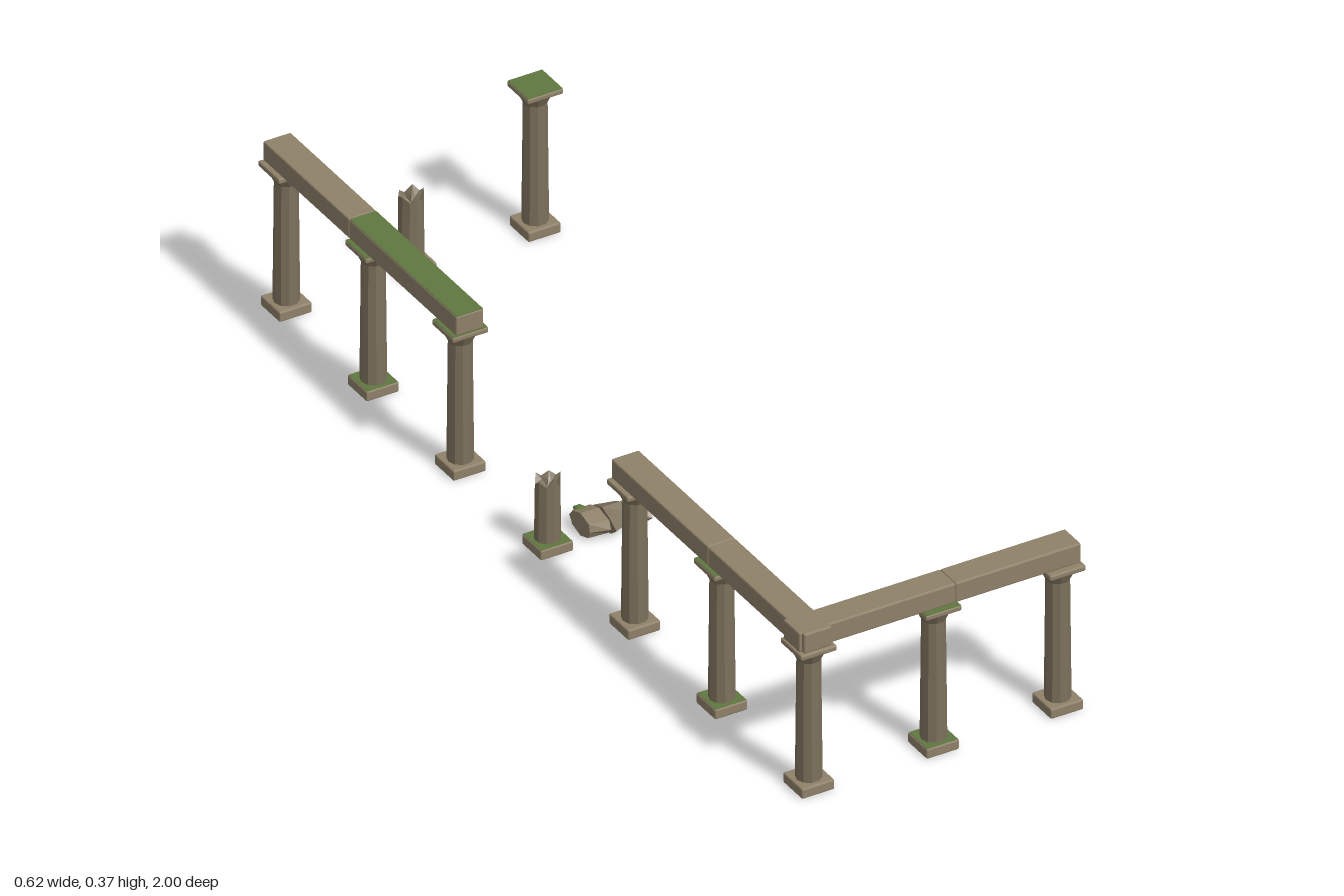
import * as THREE from 'three';
import { RoundedBoxGeometry } from 'three/addons/geometries/RoundedBoxGeometry.js';

const SIDES = 10;
const mat = (color) => new THREE.MeshStandardMaterial({ color, flatShading: true });

export function createModel() {
  const stone = mat(0x8f8169);
  const shaftStone = mat(0x7d715c);
  const moss = mat(0x5f7840);
  const model = new THREE.Group();
  model.name = 'ruinedColonnade';

  let seed = 7;
  const rand = () => (seed = (seed * 16807) % 2147483647) / 2147483647;

  function add(parent, name, geometry, material, x, y, z) {
    const mesh = new THREE.Mesh(geometry, material);
    mesh.name = name;
    mesh.position.set(x, y, z);
    parent.add(mesh);
    return mesh;
  }

  // Block with narrow chamfered edges
  const block = (w, h, d) => new RoundedBoxGeometry(w, h, d, 1, 0.003);

  // Thin moss layer lying on an upper surface
  const mossLayer = (parent, w, d, x, y, z) =>
    add(parent, 'moss', new THREE.BoxGeometry(w, 0.0012, d), moss, x, y, z);

  function plinth(x, z, mossy) {
    const column = new THREE.Group();
    column.position.set(x, 0, z);
    model.add(column);
    add(column, 'base', block(0.071, 0.022, 0.071), stone, 0, 0.011, 0);
    if (mossy) mossLayer(column, 0.067, 0.067, 0, 0.022, 0);
    return column;
  }

  // Whole column: base, tapered shaft, flared capital and square slab
  function wholeColumn(x, z, mossyBase = false, mossyTop = false) {
    const column = plinth(x, z, mossyBase);
    column.name = 'column';
    add(column, 'shaft', new THREE.CylinderGeometry(0.0235, 0.0262, 0.268, SIDES), shaftStone, 0, 0.155, 0)
      .rotation.y = Math.PI / 2;
    add(column, 'capital', new THREE.CylinderGeometry(0.036, 0.024, 0.025, SIDES), shaftStone, 0, 0.2985, 0)
      .rotation.y = Math.PI / 2;
    add(column, 'capitalSlab', block(0.078, 0.012, 0.078), stone, 0, 0.316, 0);
    if (mossyTop) mossLayer(column, 0.075, 0.075, 0, 0.322, 0);
  }

  // Broken column: the top rim is uneven and the middle is sunken
  function brokenColumn(x, z, top, mossyBase) {
    const column = plinth(x, z, mossyBase);
    column.name = 'brokenColumn';
    const heights = Array.from({ length: SIDES }, (_, i) => top - (i % 2 ? 0.012 : 0) - rand() * 0.012);
    heights[2] = top;
    const points = [[0.0262, () => 0.021], [0.0245, (i) => heights[i]], [0.012, (i) => heights[i] - 0.012], [0, () => top - 0.03]];
    const profile = points.map(([r]) => new THREE.Vector2(r, 0));
    const geometry = new THREE.LatheGeometry(profile, SIDES);
    const pos = geometry.attributes.position;
    for (let k = 0; k < pos.count; k++) {
      const ring = Math.floor(k / points.length) % SIDES;
      pos.setY(k, points[k % points.length][1](ring));
    }
    geometry.computeVertexNormals();
    const shaft = add(column, 'brokenShaft', geometry, shaftStone, 0, 0, 0);
    shaft.material = shaftStone.clone();
    shaft.material.side = THREE.DoubleSide;
  }

  const LEFT = -0.272, RIGHT = 0.271, END = 0.961;

  // Long side: two runs of three columns with a broken one between
  for (const z of [END, 0.641, 0.321]) wholeColumn(LEFT, z, z === 0.641, z === 0.641);
  for (const z of [-0.321, -0.641, -END]) wholeColumn(LEFT, z, z === -0.641, z !== -END);
  brokenColumn(LEFT, 0, 0.165, true);

  // Front row and remains of the back row
  wholeColumn(0, END, true, true);
  wholeColumn(RIGHT, END);
  brokenColumn(0, -END, 0.178, false);
  wholeColumn(RIGHT, -END, false, true);

  // Beams, each laid as two butted lengths
  const BEAM_Y = 0.3435, BEAM_H = 0.043, BEAM_W = 0.06;
  for (const [from, to] of [[-0.996, -0.68], [-0.68, -0.285], [0.285, 0.64], [0.64, 0.996]]) {
    add(model, 'sideBeam', block(BEAM_W, BEAM_H, to - from), stone, LEFT, BEAM_Y, (from + to) / 2);
  }
  mossLayer(model, 0.057, 0.393, LEFT, 0.365, -0.4825);
  for (const [from, to] of [[-0.308, 0.034], [0.034, 0.307]]) {
    add(model, 'frontBeam', block(to - from, BEAM_H, BEAM_W - 0.001), stone, (from + to) / 2, BEAM_Y - 0.0003, 0.957);
  }

  // Fallen drums: flattened prisms along x with crooked ends
  const drums = [
    { x: -0.1785, z: -0.003, a: 0.046, b: 0.056 },
    { x: -0.133, z: 0, a: 0.054, b: 0.036 },
    { x: -0.09, z: 0.006, a: 0.032, b: 0.046 },
  ];
  drums.forEach(({ x, z, a, b }, n) => {
    const geometry = new THREE.CylinderGeometry(1, 1, 0.04, 8, 1);
    geometry.rotateZ(-Math.PI / 2);
    const wobble = Array.from({ length: 16 }, () => 0.72 + rand() * 0.28);
    const pos = geometry.attributes.position;
    for (let i = 0; i < pos.count; i++) {
      const px = pos.getX(i), py = pos.getY(i), pz = pos.getZ(i);
      if (Math.hypot(py, pz) < 0.5) continue;
      const slot = (Math.round((Math.atan2(pz, py) / Math.PI) * 4) + 8) % 8;
      const w = wobble[slot + (px > 0 ? 8 : 0)];
      const flat = Math.abs(py) > 0.9 ? 1 : w;
      pos.setXYZ(i, px, py * 0.025 * flat, pz * (px > 0 ? b : a) * w);
    }
    geometry.computeVertexNormals();
    const drum = add(model, 'fallenDrum', geometry, n === 1 ? shaftStone : stone, x, 0.025, z);
    if (n === 0) {
      // Moss patch clinging to the first drum
      const patch = new THREE.SphereGeometry(1, 6, 3, 0, Math.PI * 2, 0, Math.PI / 2);
      patch.scale(0.014, 0.008, 0.018);
      add(drum, 'moss', patch, moss, -0.004, 0.012, -0.027);
    }
  });

  return model;
}
